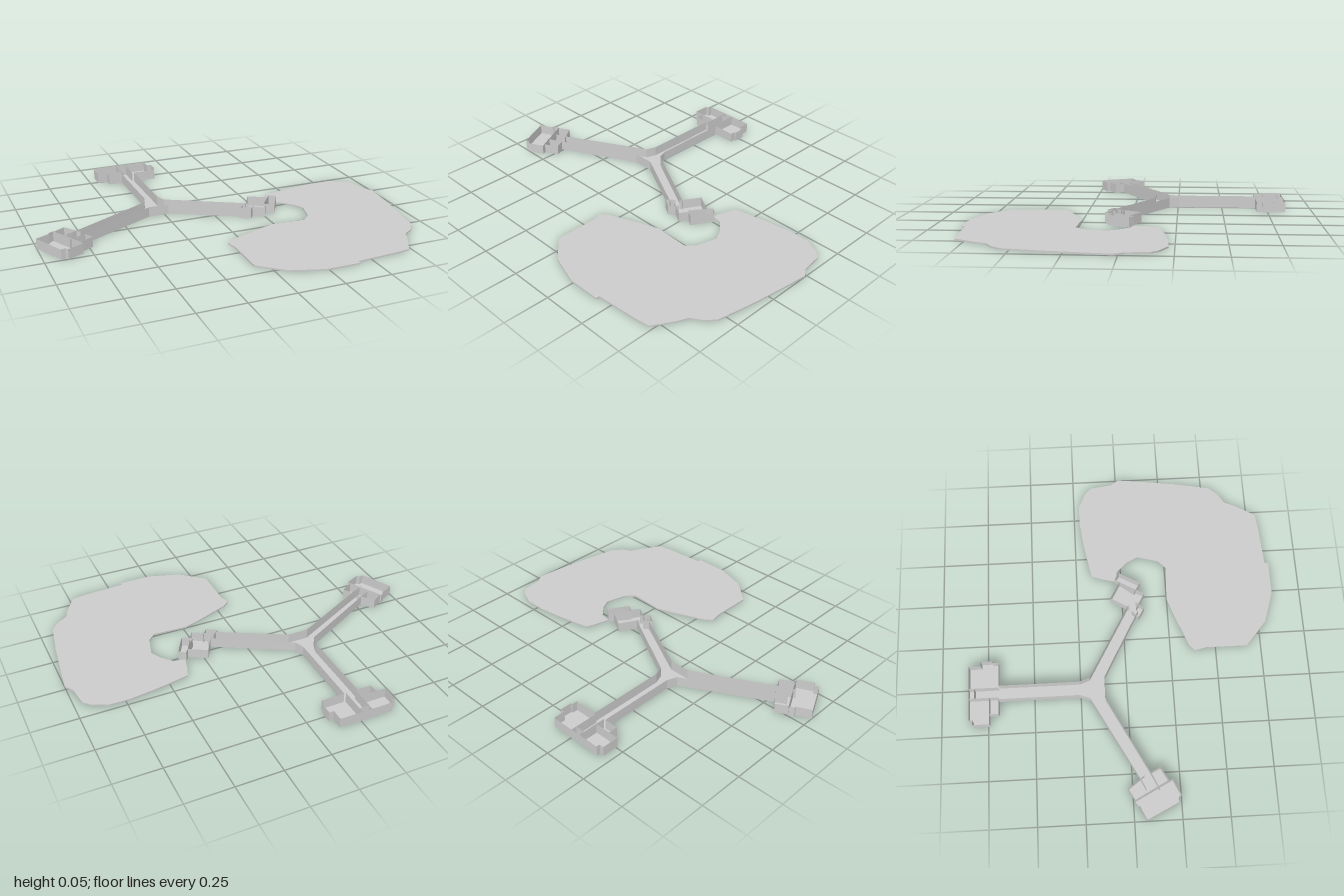
import * as THREE from 'three';
import { mergeGeometries } from 'three/addons/utils/BufferGeometryUtils.js';

const WALL = 0.055;
const material = new THREE.MeshStandardMaterial({ color: 0xcccccc, side: THREE.DoubleSide, flatShading: true });

// Plan points are [x, z]; shapes are drawn with y = -z and laid flat
const planShape = (pts) => new THREE.Shape(pts.map(([x, z]) => new THREE.Vector2(x, -z)));

function mesh(name, geometry) {
  const m = new THREE.Mesh(geometry, material);
  m.name = name;
  return m;
}

// Flat floor panel on the ground
function floor(name, pts) {
  return mesh(name, new THREE.ShapeGeometry(planShape(pts)).rotateX(-Math.PI / 2));
}

// Thin upright walls along one or more plan polylines
function walls(name, lines) {
  const panels = [];
  for (const line of lines) {
    for (let i = 0; i + 1 < line.length; i++) {
      const [ax, az] = line[i], [bx, bz] = line[i + 1];
      const panel = new THREE.PlaneGeometry(Math.hypot(bx - ax, bz - az), WALL);
      panel.rotateY(-Math.atan2(bz - az, bx - ax));
      panel.translate((ax + bx) / 2, WALL / 2, (az + bz) / 2);
      panels.push(panel);
    }
  }
  return mesh(name, mergeGeometries(panels));
}

// A room: floor outline, walls following it from the doorway around, and partitions
function room(name, outline, partitions = [], open = false) {
  const g = new THREE.Group();
  g.name = name;
  const loop = open ? outline : [...outline, outline[0]];
  g.add(floor(name + 'Floor', outline), walls(name + 'Walls', [loop, ...partitions]));
  return g;
}

export function createModel() {
  const model = new THREE.Group();
  model.name = 'corridorsAndGround';

  // Thin irregular ground slab with a bay cut into its side
  const ground = [
    [0.39, -0.165], [0.57, -0.2], [0.72, -0.22], [0.835, -0.22], [0.92, -0.18], [0.955, -0.145],
    [0.97, -0.03], [1, 0.015], [0.99, 0.107], [0.957, 0.35], [0.92, 0.545], [0.877, 0.595],
    [0.82, 0.63], [0.797, 0.685], [0.73, 0.8], [0.65, 0.81], [0.42, 0.825], [0.42, 0.845],
    [0.235, 0.845], [0.065, 0.79], [-0.03, 0.71], [-0.07, 0.675], [-0.07, 0.445], [-0.085, 0.385],
    [-0.05, 0.355], [0.14, 0.28], [0.23, 0.25], [0.42, 0.26], [0.465, 0.215], [0.495, 0.1],
    [0.465, 0.04], [0.41, -0.02], [0.35, -0.03], [0.37, -0.11],
  ];
  const slab = new THREE.ExtrudeGeometry(planShape(ground), { depth: 0.008, bevelEnabled: false });
  model.add(mesh('groundSlab', slab.rotateX(-Math.PI / 2)));

  // Three-armed corridor: one wall in each angle between arms, ends left open
  const backLeftWall = [[-0.245, -0.69], [-0.245, -0.255], [-0.225, -0.2], [0.19, 0.035]];
  const frontWall = [[0.15, 0.085], [-0.225, -0.12], [-0.34, -0.12], [-0.77, 0.105], [-0.845, 0.14]];
  const backRightWall = [[-0.845, 0.07], [-0.81, 0.055], [-0.34, -0.2], [-0.32, -0.255], [-0.32, -0.69]];
  model.add(
    floor('corridorFloor', [...backLeftWall, ...frontWall, ...backRightWall]),
    walls('corridorWalls', [backLeftWall, frontWall, backRightWall]),
  );

  // Back rooms, entered from the corridor through the front side
  model.add(room('backRoom', [
    [-0.32, -0.69], [-0.4, -0.69], [-0.4, -0.74], [-0.455, -0.74], [-0.455, -0.83], [-0.43, -0.83],
    [-0.43, -0.85], [-0.13, -0.85], [-0.13, -0.785], [-0.105, -0.785], [-0.105, -0.72],
    [-0.115, -0.72], [-0.115, -0.69], [-0.245, -0.69],
  ], [
    [[-0.31, -0.69], [-0.31, -0.85]],
    [[-0.255, -0.69], [-0.255, -0.85]],
    [[-0.31, -0.82], [-0.255, -0.82]],
    [[-0.4, -0.74], [-0.31, -0.74]],
  ], true));

  // Right rooms: a large outer one and a narrow anteroom
  model.add(room('rightOuterRoom', [
    [-0.9, 0.005], [-0.925, 0.02], [-0.925, 0.03], [-1, 0.065], [-0.915, 0.24], [-0.89, 0.235],
    [-0.88, 0.25], [-0.795, 0.21], [-0.805, 0.19],
  ]));
  model.add(room('rightAnteroom', [
    [-0.77, 0.065], [-0.835, -0.025], [-0.895, 0.01], [-0.8, 0.19], [-0.73, 0.15], [-0.755, 0.1],
  ], [], true));

  // Left rooms: entry, middle and end boxes in a row
  model.add(room('leftEntryRoom', [[0.15, 0.05], [0.11, 0.085], [0.165, 0.12], [0.2, 0.075]], [], true));
  model.add(room('leftMiddleRoom', [
    [0.17, 0.04], [0.23, -0.065], [0.325, -0.01], [0.25, 0.125], [0.165, 0.075],
  ], [], true));
  model.add(room('leftEndRoom', [[0.345, -0.035], [0.38, -0.01], [0.315, 0.105], [0.265, 0.07]]));

  return model;
}
